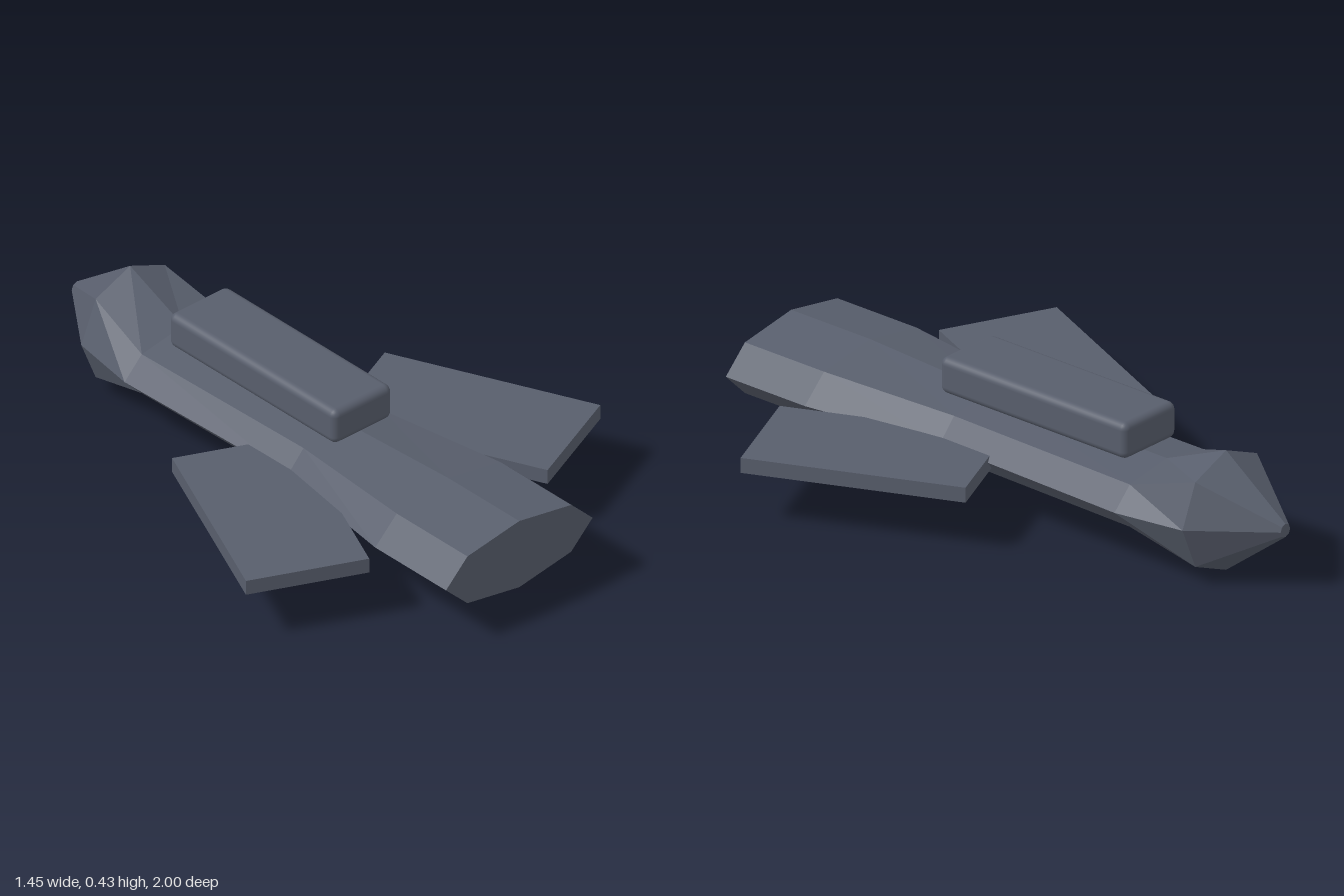
import * as THREE from 'three';
import { RoundedBoxGeometry } from 'three/addons/geometries/RoundedBoxGeometry.js';

const SIDES = 8;

// Faceted hull skinned over elliptical octagons: [z, centreY, radiusX, radiusY]
function hullGeometry(sections) {
  const positions = [];
  const point = ([z, cy, rx, ry], j) => {
    const a = (j / SIDES) * Math.PI * 2;
    return [Math.cos(a) * rx, cy + Math.sin(a) * ry, z];
  };
  const tri = (...corners) => corners.forEach((c) => positions.push(...c));
  const first = sections[0];
  const last = sections[sections.length - 1];
  for (let j = 0; j < SIDES; j++) {
    for (let i = 0; i < sections.length - 1; i++) {
      const a = point(sections[i], j);
      const b = point(sections[i], j + 1);
      const c = point(sections[i + 1], j + 1);
      const d = point(sections[i + 1], j);
      tri(a, b, c);
      tri(a, c, d);
    }
    // end caps
    tri([0, first[1], first[0]], point(first, j + 1), point(first, j));
    tri([0, last[1], last[0]], point(last, j), point(last, j + 1));
  }
  const geometry = new THREE.BufferGeometry();
  geometry.setAttribute('position', new THREE.Float32BufferAttribute(positions, 3));
  geometry.computeVertexNormals();
  return geometry;
}

export function createModel() {
  const model = new THREE.Group();
  model.name = 'spacecraft';
  const slate = new THREE.MeshStandardMaterial({ color: 0x585e6c });
  slate.name = 'slate grey';

  const add = (name, geometry, x, y, z) => {
    const mesh = new THREE.Mesh(geometry, slate);
    mesh.name = name;
    mesh.position.set(x, y, z);
    model.add(mesh);
    return mesh;
  };

  // Hull from the pointed nose to the flared engine end
  add('hull', hullGeometry([
    [-1, 0.205, 0.022, 0.022],
    [-0.76, 0.2, 0.2, 0.2],
    [-0.52, 0.2, 0.24, 0.1],
    [0.2, 0.205, 0.225, 0.1],
    [0.68, 0.21, 0.3, 0.12],
    [1, 0.21, 0.3, 0.12],
  ]), 0, 0, 0);

  // Rounded pod above the spine
  add('dorsalPod', new RoundedBoxGeometry(0.24, 0.12, 0.755, 3, 0.024), 0, 0.37, -0.08);

  // Swept slab wings
  const wing = new THREE.BoxGeometry(0.394, 0.05, 0.716);
  for (const side of [1, -1]) {
    const mesh = add(side > 0 ? 'leftWing' : 'rightWing', wing, side * 0.4, 0.195, 0.3175);
    mesh.rotation.y = side * 0.417;
  }

  return model;
}
